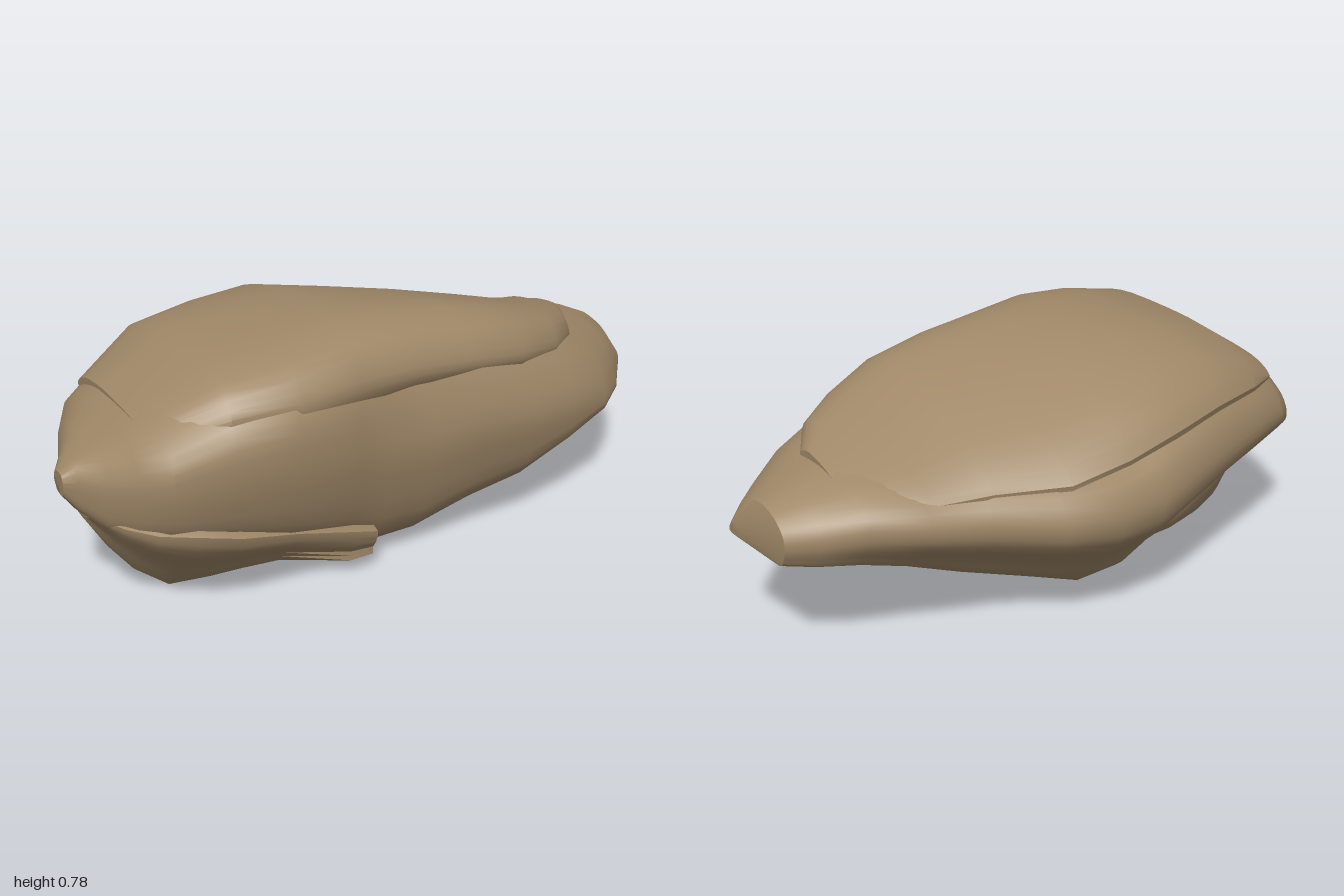
import * as THREE from 'three';
import { toCreasedNormals } from 'three/addons/utils/BufferGeometryUtils.js';

// Closed cross-sections as [back-to-front, bottom-to-top], both 0..1
const boulderSections = [
  // left end: undercut at the front
  [[0, 0.5], [0.02, 0.36], [0.14, 0.2], [0.24, 0.06], [0.5, 0], [0.7, 0.01], [0.87, 0.08], [0.95, 0.24],
    [1, 0.52], [1, 0.74], [0.94, 0.9], [0.78, 1], [0.37, 0.95], [0.17, 0.83], [0.04, 0.66]],
  // middle: steep front wall, top falling towards the back
  [[0, 0.48], [0.02, 0.36], [0.15, 0.2], [0.23, 0.08], [0.5, 0], [0.74, 0.02], [0.88, 0.07], [0.95, 0.2],
    [1, 0.5], [0.99, 0.7], [0.94, 0.86], [0.8, 0.98], [0.42, 0.88], [0.18, 0.72], [0.04, 0.6]],
  // right end: wedge leaning back
  [[0, 0.55], [0.01, 0.35], [0.05, 0.17], [0.12, 0.06], [0.5, 0], [0.78, 0.01], [0.94, 0.06], [1, 0.16],
    [0.98, 0.3], [0.93, 0.48], [0.84, 0.7], [0.66, 0.9], [0.38, 1], [0.17, 0.9], [0.04, 0.72]],
];
const slabSections = [
  [[0, 0.1], [0.2, 0], [0.85, 0], [0.98, 0.2], [1, 0.55], [0.93, 0.88], [0.76, 1], [0.4, 0.94], [0.16, 0.72], [0.04, 0.42]],
  [[0, 0.05], [0.2, 0], [0.85, 0.15], [0.98, 0.4], [1, 0.6], [0.94, 0.88], [0.78, 1], [0.45, 0.8], [0.17, 0.48], [0.04, 0.24]],
];
const footSections = [
  [[0, 0.6], [0.1, 0.2], [0.22, 0.03], [0.42, 0], [0.55, 0.02], [0.72, 0.35], [0.96, 0.75], [0.94, 1], [0.1, 1]],
  [[0, 0.6], [0.03, 0.15], [0.1, 0.02], [0.5, 0], [0.93, 0.01], [0.96, 0.3], [1, 0.65], [0.95, 1], [0.1, 1]],
];

// Stations along x: [x, bottom, top, back z, front z, section blend]
const boulderStations = [
  [-1, 0.38, 0.45, 0.16, 0.24, 0], [-0.96, 0.32, 0.48, 0.07, 0.26, 0], [-0.9, 0.26, 0.51, -0.12, 0.34, 0],
  [-0.84, 0.24, 0.56, -0.25, 0.42, 0], [-0.77, 0.23, 0.61, -0.3, 0.49, 0], [-0.6, 0.18, 0.69, -0.38, 0.525, 0],
  [-0.42, 0.12, 0.73, -0.44, 0.535, 0], [-0.2, 0.05, 0.75, -0.515, 0.485, 0.4], [-0.1, 0.005, 0.745, -0.53, 0.46, 0.7],
  [0.06, 0.005, 0.73, -0.545, 0.445, 1], [0.24, 0.07, 0.69, -0.525, 0.445, 1], [0.42, 0.12, 0.64, -0.415, 0.435, 1.15],
  [0.6, 0.2, 0.59, -0.375, 0.4, 1.4], [0.76, 0.265, 0.545, -0.325, 0.34, 1.8], [0.88, 0.285, 0.495, -0.26, 0.23, 2],
  [0.96, 0.295, 0.46, -0.2, 0.13, 2], [1, 0.33, 0.37, 0.01, 0.08, 2],
];
const slabStations = [
  [-0.8, 0.5, 0.59, -0.2, 0.38, 0], [-0.6, 0.53, 0.715, -0.35, 0.49, 0], [-0.4, 0.52, 0.75, -0.41, 0.51, 0],
  [-0.2, 0.5, 0.775, -0.47, 0.47, 0.25], [0, 0.47, 0.76, -0.49, 0.43, 0.7], [0.2, 0.44, 0.735, -0.48, 0.41, 1],
  [0.4, 0.43, 0.69, -0.38, 0.38, 1], [0.58, 0.43, 0.625, -0.34, 0.3, 1], [0.7, 0.43, 0.59, -0.3, 0.2, 1],
  [0.78, 0.44, 0.55, -0.24, 0.06, 0.8],
];
const footStations = [
  [-0.93, 0.27, 0.31, 0.08, 0.24, 0], [-0.87, 0.17, 0.32, 0, 0.36, 0], [-0.8, 0.08, 0.32, -0.06, 0.43, 0],
  [-0.7, 0, 0.32, -0.12, 0.48, 0], [-0.58, 0.01, 0.29, -0.18, 0.49, 0.2], [-0.4, 0.05, 0.24, -0.25, 0.46, 0.6],
  [-0.2, 0.04, 0.18, -0.22, 0.435, 1], [-0.12, 0.04, 0.15, -0.12, 0.42, 1],
];

// Skins blended sections through the stations, with a gentle weathered wobble
function rock(name, sections, stations, material, wobble) {
  const size = sections[0].length * 3;
  const rings = sections.map((section) => new THREE.CatmullRomCurve3(
    section.map(([u, v]) => new THREE.Vector3(u, v, 0)), true, 'catmullrom', 0.4).getPoints(size));
  const pos = [], index = [];
  stations.forEach(([x, y0, y1, z0, z1, blend], i) => {
    const from = rings[Math.floor(blend)], to = rings[Math.ceil(blend)];
    for (let j = 0; j < size; j++) {
      const p = from[j].clone().lerp(to[j], blend % 1);
      const w = 1 - wobble * (0.5 + 0.5 * Math.sin(j * 0.7 + x * 7) * Math.cos(x * 11 - j * 0.3));
      pos.push(x, (y0 + y1) / 2 + (p.y - 0.5) * (y1 - y0) * w, (z0 + z1) / 2 + (p.x - 0.5) * (z1 - z0) * w);
      if (i < stations.length - 1) {
        const a = i * size + j, c = i * size + (j + 1) % size;
        index.push(a, a + size, c, c, a + size, c + size);
      }
    }
  });
  // Close both ends
  [0, stations.length - 1].forEach((i) => {
    const [x, y0, y1, z0, z1] = stations[i], centre = pos.length / 3;
    pos.push(x, (y0 + y1) / 2, (z0 + z1) / 2);
    for (let j = 0; j < size; j++) {
      const a = i * size + j, b = i * size + (j + 1) % size;
      index.push(centre, i ? b : a, i ? a : b);
    }
  });
  const geo = new THREE.BufferGeometry();
  geo.setAttribute('position', new THREE.Float32BufferAttribute(pos, 3));
  geo.setIndex(index);
  const mesh = new THREE.Mesh(toCreasedNormals(geo, 0.6), material);
  mesh.name = name;
  return mesh;
}

export function createModel() {
  const stone = new THREE.MeshStandardMaterial({ color: 0xa08868 });
  stone.name = 'brown stone';
  const group = new THREE.Group();
  group.name = 'rock';
  group.add(
    rock('boulder', boulderSections, boulderStations, stone, 0.015),
    rock('topSlab', slabSections, slabStations, stone, 0.01),
    rock('footLedge', footSections, footStations, stone, 0.01),
  );
  return group;
}
